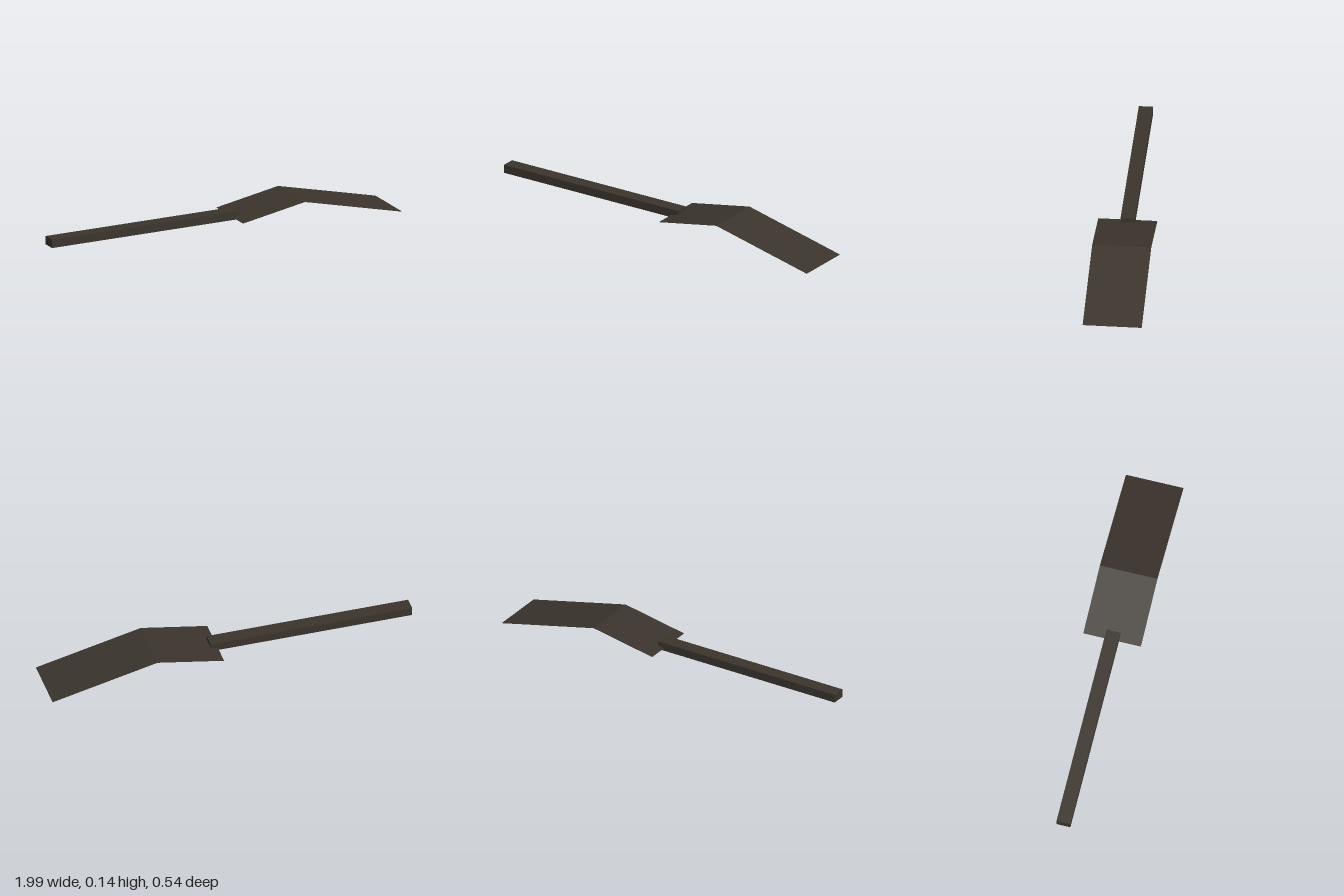
import * as THREE from 'three';

export function createModel() {
  const model = new THREE.Group();
  const darkBrown = new THREE.MeshStandardMaterial({ color: 0x3b342d, side: THREE.DoubleSide });
  darkBrown.name = 'dark brown';

  // Whole tool lies slightly turned about the vertical axis
  const tool = new THREE.Group();
  tool.name = 'tool';
  tool.rotation.y = THREE.MathUtils.degToRad(-10);
  tool.position.x = 0.002;
  model.add(tool);
  const axisZ = -0.055;

  // Handle: long square bar
  const handle = new THREE.Mesh(new THREE.BoxGeometry(1.097, 0.045, 0.075), darkBrown);
  handle.name = 'handle';
  handle.position.set(-0.4695, 0.078, axisZ - 0.002);
  tool.add(handle);

  // Blade: thin sheet with one crease, rising from the handle and sloping to the tip
  const crease = [[0.04, 0.07], [0.403, 0.136], [0.974, 0]];
  const sheet = new THREE.PlaneGeometry(1, 0.31, 2, 1).rotateX(-Math.PI / 2);
  const pos = sheet.attributes.position;
  for (let i = 0; i < pos.count; i++) {
    const [x, y] = crease[Math.round((pos.getX(i) + 0.5) * 2)];
    pos.setXYZ(i, x, y, pos.getZ(i));
  }
  const bladeGeometry = sheet.toNonIndexed();
  bladeGeometry.computeVertexNormals();
  const blade = new THREE.Mesh(bladeGeometry, darkBrown);
  blade.name = 'blade';
  blade.position.z = axisZ;
  tool.add(blade);

  return model;
}
